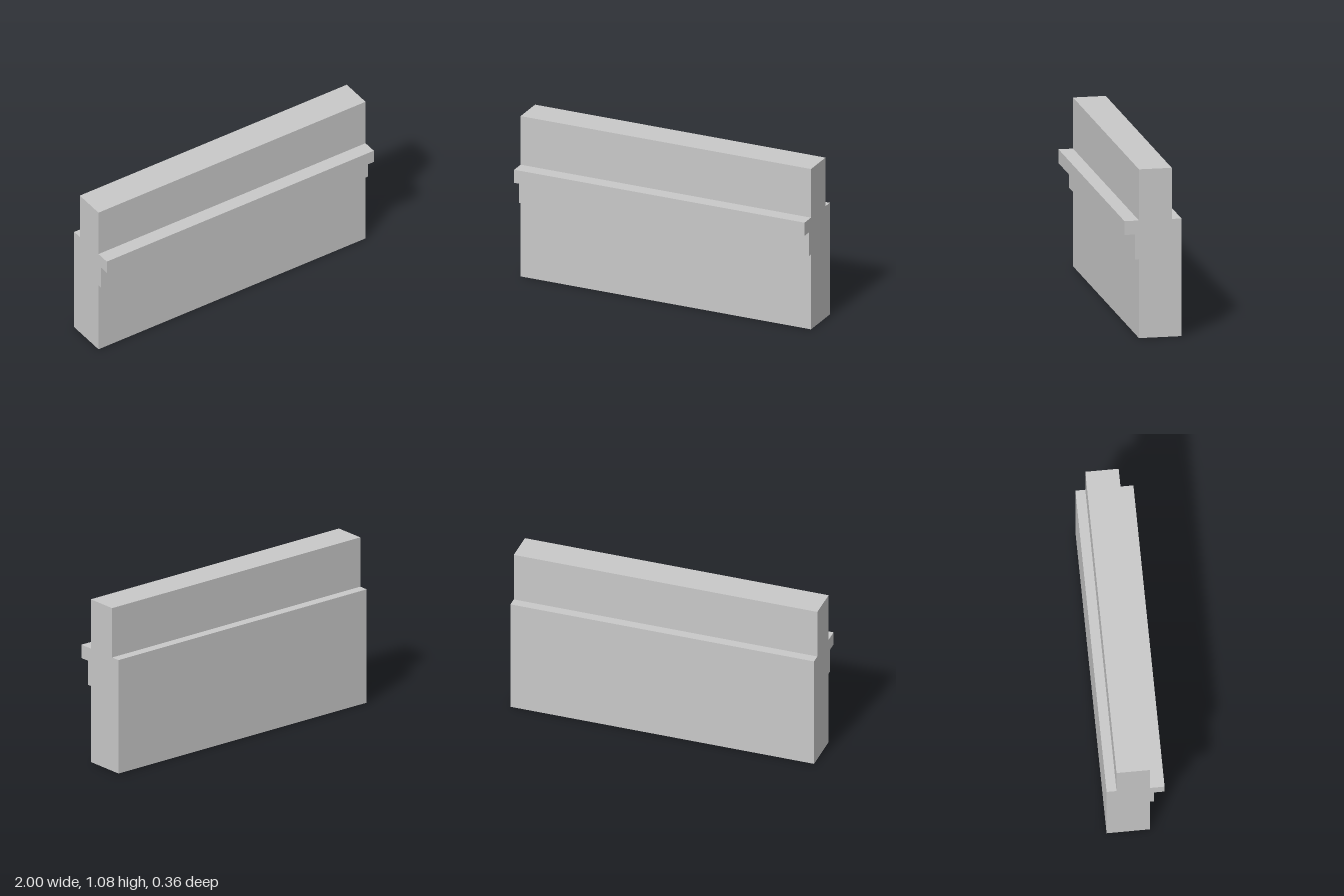
import * as THREE from 'three';

export function createModel() {
  const group = new THREE.Group();
  group.name = 'parapetWall';

  const stone = new THREE.MeshStandardMaterial({ color: 0xc8c8c8 });
  stone.name = 'light grey stone';

  // Wall section as [z, y]: thick base, stepped front ledge, thinner upper wall
  const section = [
    [0.09, 0], [0.09, 0.503],
    [0.116, 0.503], [0.116, 0.662],     // lower moulding
    [0.182, 0.662], [0.182, 0.75],      // projecting ledge
    [0.09, 0.75], [0.09, 1.076],        // upper wall front
    [-0.118, 1.076], [-0.118, 0.75],    // upper wall back
    [-0.18, 0.75], [-0.18, 0],          // rear shelf and back
  ];
  const shape = new THREE.Shape(section.map(([z, y]) => new THREE.Vector2(-z, y)));

  // Run the section along x
  const length = 2;
  const geometry = new THREE.ExtrudeGeometry(shape, { depth: length, bevelEnabled: false });
  geometry.translate(0, 0, -length / 2);
  geometry.rotateY(Math.PI / 2);

  const wall = new THREE.Mesh(geometry, stone);
  wall.name = 'wall';
  group.add(wall);
  return group;
}
